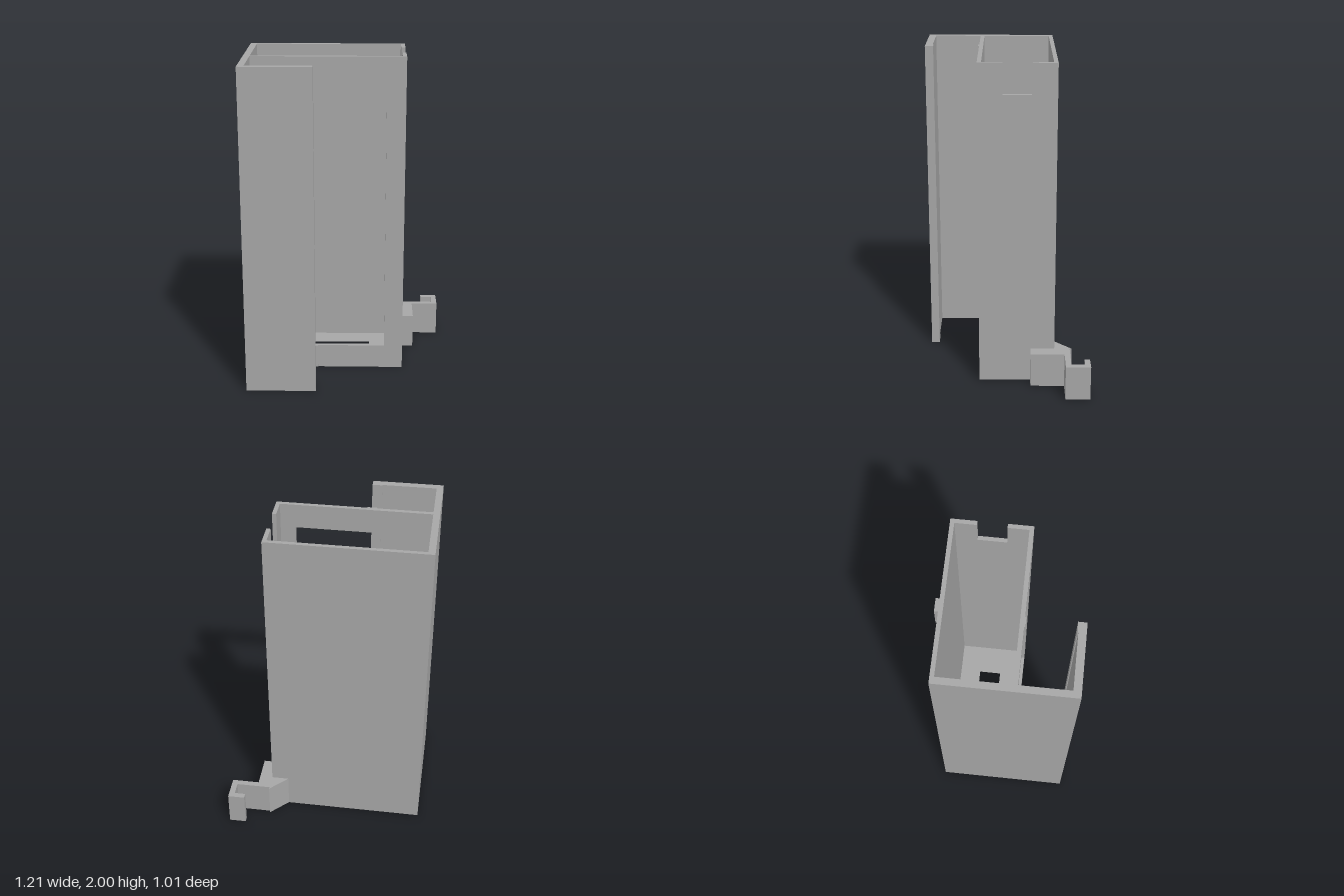
import * as THREE from 'three';

const outline = (pts) => pts.map(([a, b]) => new THREE.Vector2(a, b));
const rect = (a0, a1, b0, b1) => [[a0, b0], [a1, b0], [a1, b1], [a0, b1]];

// Flat shape with optional hole, extruded by depth
function slab(pts, depth, hole) {
  const shape = new THREE.Shape(outline(pts));
  if (hole) shape.holes.push(new THREE.Path(outline(hole)));
  return new THREE.ExtrudeGeometry(shape, { depth, bevelEnabled: false });
}

// Plan outline given as [x, z], raised from the ground to a height
function plan(pts, height, hole) {
  const flip = (list) => list.map(([x, z]) => [x, -z]);
  return slab(flip(pts), height, hole && flip(hole)).rotateX(-Math.PI / 2);
}

export function createModel() {
  const group = new THREE.Group();
  const grey = new THREE.MeshStandardMaterial({ color: 0xa6a6a6 });
  grey.name = 'plain grey';

  const add = (name, geometry) => {
    const mesh = new THREE.Mesh(geometry, grey);
    mesh.name = name;
    group.add(mesh);
    return mesh;
  };

  // Side wall that runs forward and returns as a flap with a small lip
  add('sideWallAndFlap', plan([
    [-0.605, -0.295], [-0.565, -0.295], [-0.565, 0.458], [-0.24, 0.458],
    [-0.24, 0.452], [-0.18, 0.452], [-0.18, 0.503], [-0.605, 0.503],
  ], 2));

  // Floor with a slot
  add('floor', plan(rect(-0.565, 0.33, -0.27, 0.145), 0.03, rect(-0.38, 0.145, -0.135, 0.008)));

  // Back wall
  add('backWall', plan(rect(-0.565, 0.355, -0.295, -0.27), 2));

  // Front wall with a tall window
  add('frontWall', slab(rect(-0.565, 0.355, 0, 2), 0.025, rect(-0.48, 0.24, 0.15, 1.85)))
    .position.z = 0.145;

  // Small ridges above and below the window
  for (const y of [0.075, 1.925]) {
    add('frontRidge', new THREE.BoxGeometry(0.06, 0.15, 0.007)).position.set(-0.21, y, 0.1735);
  }

  // Notched side wall, drawn in z and y
  add('notchedWall', slab([
    [-0.27, 0], [0.145, 0], [0.145, 2], [0.024, 2],
    [0.024, 1.815], [-0.145, 1.815], [-0.145, 2], [-0.27, 2],
  ], 0.025).rotateY(-Math.PI / 2)).position.x = 0.355;

  // Hooked clip at the back corner
  add('clip', plan([
    [0.25, -0.295], [0.357, -0.403], [0.357, -0.39], [0.568, -0.39], [0.568, -0.472],
    [0.5, -0.472], [0.5, -0.506], [0.604, -0.506], [0.604, -0.355], [0.435, -0.355],
    [0.435, -0.147], [0.355, -0.147], [0.355, -0.295],
  ], 0.215));

  return group;
}
